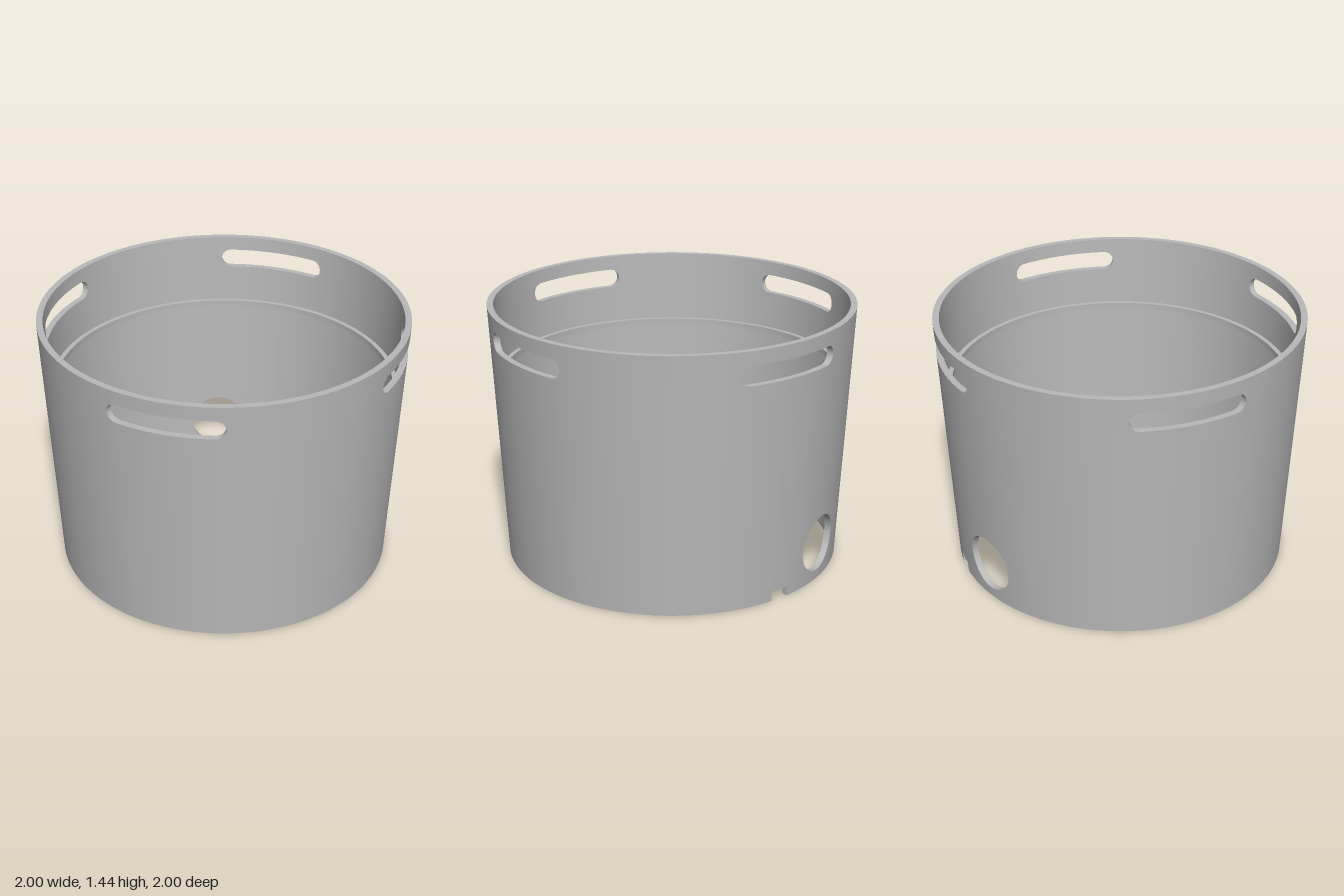
import * as THREE from 'three';
import { toCreasedNormals } from 'three/addons/utils/BufferGeometryUtils.js';

const HEIGHT = 1.44, THICK = 0.035, TAU = Math.PI * 2;
const outerR = (y) => 0.93 + 0.0486 * y;
const innerR = (y) => outerR(y) - THICK;
const point = (r, t, y) => [r * Math.sin(t), y, r * Math.cos(t)];
const angleDiff = (a, b) => THREE.MathUtils.euclideanModulo(a - b + Math.PI, TAU) - Math.PI;

// Opening with round ends: centre angle, height, half width and end radius
function roundOpening(at, y, halfWidth, r) {
  const R = outerR(y) - THICK / 2;
  const angles = [];
  for (let i = 0; i <= 12; i++) {
    const x = halfWidth - r + r * Math.sin((i / 12) * Math.PI / 2);
    angles.push(at + Math.asin(x / R), at - Math.asin(x / R));
  }
  const gap = (t) => {
    const x = Math.max(0, Math.abs(R * Math.sin(angleDiff(t, at))) - (halfWidth - r));
    const h = Math.sqrt(Math.max(0, r * r - x * x));
    return [y - h, y + h];
  };
  return { at, half: Math.asin(halfWidth / R), angles, gap };
}

// Wall as angular columns, each split into bands around its openings
function buildWall() {
  const openings = [0, 1, 2, 3].map((i) => roundOpening(i * Math.PI / 2, 1.308, 0.305, 0.053));
  openings.push(roundOpening(THREE.MathUtils.degToRad(200), 0.215, 0.16, 0.16));
  const notch = { at: Math.PI, half: 0.057, gap: () => [0, 0.055] };
  notch.angles = [notch.at - notch.half, notch.at + notch.half];
  openings.push(notch);

  let cuts = openings.flatMap((o) => o.angles).map((a) => THREE.MathUtils.euclideanModulo(a, TAU));
  for (let i = 0; i <= 128; i++) cuts.push((i / 128) * TAU);
  cuts = cuts.sort((a, b) => a - b).filter((a, i, all) => i === 0 || a - all[i - 1] > 1e-6);

  const pos = [];
  const quad = (a, b, c, d) => pos.push(...a, ...b, ...c, ...a, ...c, ...d);

  for (let i = 0; i < cuts.length - 1; i++) {
    const t0 = cuts[i], t1 = cuts[i + 1], mid = (t0 + t1) / 2;
    const gaps = openings
      .filter((o) => Math.abs(angleDiff(mid, o.at)) < o.half)
      .map((o) => [o.gap(t0), o.gap(t1)])
      .sort((a, b) => a[0][0] - b[0][0]);
    let lo = [0, 0];
    for (const [g0, g1] of [...gaps, [[HEIGHT, HEIGHT], [HEIGHT, HEIGHT]]]) {
      const hi = [g0[0], g1[0]];
      if (hi[0] - lo[0] > 1e-6 || hi[1] - lo[1] > 1e-6) {
        const o = (t, y) => point(outerR(y), t, y);
        const n = (t, y) => point(innerR(y), t, y);
        quad(o(t0, lo[0]), o(t1, lo[1]), o(t1, hi[1]), o(t0, hi[0]));
        quad(n(t1, lo[1]), n(t0, lo[0]), n(t0, hi[0]), n(t1, hi[1]));
        quad(o(t0, hi[0]), o(t1, hi[1]), n(t1, hi[1]), n(t0, hi[0]));
        quad(n(t0, lo[0]), n(t1, lo[1]), o(t1, lo[1]), o(t0, lo[0]));
      }
      lo = [g0[1], g1[1]];
    }
  }

  // Upright sides of the bottom notch
  const [a, b] = notch.angles, top = notch.gap()[1];
  const side = (t) => [
    point(outerR(0), t, 0), point(innerR(0), t, 0),
    point(innerR(top), t, top), point(outerR(top), t, top),
  ];
  quad(...side(a));
  quad(...side(b).reverse());

  const geo = new THREE.BufferGeometry();
  geo.setAttribute('position', new THREE.Float32BufferAttribute(pos, 3));
  return toCreasedNormals(geo, Math.PI / 6);
}

// Thin ledge running round the inside
function buildLedge() {
  const profile = [[0.92, 1.015], [0.96, 1.015], [0.96, 1.045], [0.92, 1.045], [0.92, 1.015]]
    .map(([r, y]) => new THREE.Vector2(r, y));
  return toCreasedNormals(new THREE.LatheGeometry(profile, 128), Math.PI / 6);
}

export function createModel() {
  const grey = new THREE.MeshStandardMaterial({ color: 0xb8b8b8 });
  grey.name = 'plain grey';
  const model = new THREE.Group();
  model.name = 'openTub';
  const add = (name, geometry) => {
    const mesh = new THREE.Mesh(geometry, grey);
    mesh.name = name;
    model.add(mesh);
  };
  add('wall', buildWall());
  add('innerLedge', buildLedge());
  return model;
}
